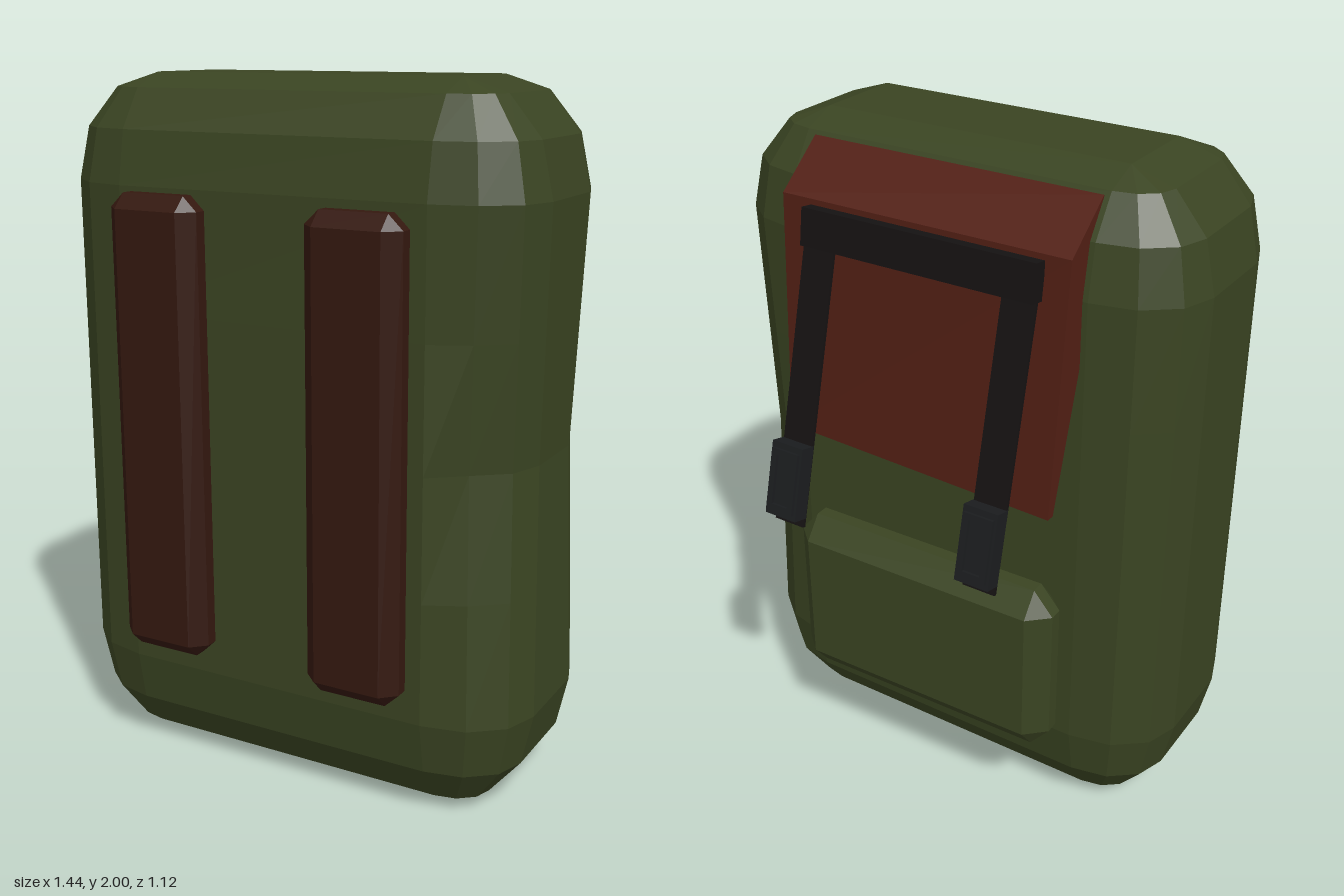
import * as THREE from 'three';

const mat = (color) => new THREE.MeshStandardMaterial({ color, flatShading: true });

// Box with rounded edges: size and radius are [x, y, z], steps = facets per quarter turn,
// mids = extra rings up the straight wall. steps 1 gives a plain chamfer.
function roundedBox(size, radius, steps, mids = 0, warp = null) {
  const core = size.map((s, i) => s / 2 - radius[i]);
  const levels = [];
  for (let k = 0; k <= steps; k++) levels.push([-core[1], (k / steps - 1) * Math.PI / 2]);
  for (let k = 1; k <= mids; k++) levels.push([core[1] * (2 * k / (mids + 1) - 1), 0]);
  for (let k = 0; k <= steps; k++) levels.push([core[1], (k / steps) * Math.PI / 2]);

  const corners = [[1, 1], [-1, 1], [-1, -1], [1, -1]];
  const rings = levels.map(([y, lat]) => {
    const ring = [];
    corners.forEach(([sx, sz], q) => {
      for (let k = 0; k <= steps; k++) {
        const a = (q + k / steps) * Math.PI / 2;
        const p = new THREE.Vector3(
          sx * core[0] + Math.cos(a) * Math.cos(lat) * radius[0],
          y + Math.sin(lat) * radius[1],
          sz * core[2] + Math.sin(a) * Math.cos(lat) * radius[2]);
        if (warp) warp(p);
        ring.push(p);
      }
    });
    return ring;
  });

  const points = [];
  const tri = (a, b, c) => {
    if (new THREE.Triangle(a, b, c).getArea() > 1e-7) points.push(a, b, c);
  };
  const n = rings[0].length;
  for (let i = 0; i < rings.length - 1; i++) {
    for (let j = 0; j < n; j++) {
      const k = (j + 1) % n;
      tri(rings[i][j], rings[i + 1][j], rings[i][k]);
      tri(rings[i][k], rings[i + 1][j], rings[i + 1][k]);
    }
  }
  const top = rings[rings.length - 1];
  for (let j = 1; j < n - 1; j++) {
    tri(rings[0][0], rings[0][j], rings[0][j + 1]);
    tri(top[0], top[j + 1], top[j]);
  }
  const geo = new THREE.BufferGeometry().setFromPoints(points);
  geo.computeVertexNormals();
  return geo;
}

export function createModel() {
  const model = new THREE.Group();
  model.name = 'backpack';
  const green = mat(0x3a4422), brown = mat(0x34180f), red = mat(0x521f14);
  const black = mat(0x151212), dark = mat(0x1b1d1f);

  const add = (name, geo, material, x, y, z, parent = model) => {
    const mesh = new THREE.Mesh(geo, material);
    mesh.name = name;
    mesh.position.set(x, y, z);
    parent.add(mesh);
    return mesh;
  };

  // Main bag, slightly sagging inwards on its left side
  const sag = (p) => {
    const t = Math.max(0, 1 - Math.abs(p.y) / 0.7);
    if (p.x > 0.5) {
      p.x -= 0.03 * t;
      if (p.z > 0.1) p.z -= 0.05 * t;
    }
  };
  add('body', roundedBox([1.44, 2, 0.67], [0.25, 0.3, 0.2], 3, 3, sag), green, 0, 1, 0.125);

  // Padded shoulder straps on the front
  for (const [name, x, y] of [['rightShoulderPad', -0.308, 1.035], ['leftShoulderPad', 0.3, 1.025]]) {
    add(name, roundedBox([0.28, 1.31, 0.115], [0.042, 0.04, 0.04], 1), brown, x, y, 0.508);
  }

  // Pocket on the back
  add('pocket', roundedBox([0.87, 0.55, 0.15], [0.06, 0.07, 0.055], 1), green, -0.015, 0.575, -0.285)
    .rotation.y = 0.015;

  // Flap: side profile (z, y) swept across the width, hanging further out on the right
  const profile = [[-0.12, 1.95], [-0.27, 1.83], [-0.35, 1.13], [-0.325, 1.13], [-0.2, 1.55], [-0.11, 1.88]];
  const shape = new THREE.Shape(profile.map(([z, y]) => new THREE.Vector2(-z, y)));
  const flapGeo = new THREE.ExtrudeGeometry(shape, { depth: 0.895, bevelEnabled: false });
  flapGeo.rotateY(Math.PI / 2);
  flapGeo.translate(-0.455, 0, 0);
  const pos = flapGeo.attributes.position;
  for (let i = 0; i < pos.count; i++) {
    if (pos.getX(i) > 0 && pos.getY(i) < 1.2) pos.setZ(i, pos.getZ(i) + 0.045);
  }
  flapGeo.computeVertexNormals();
  add('flap', flapGeo, red, 0, 0, 0);

  // Crossbar that the closing straps hang from
  add('strapBar', new THREE.BoxGeometry(0.725, 0.105, 0.045), black, -0.018, 1.765, -0.297)
    .rotation.x = 0.15;

  // Closing straps with buckles
  for (const [side, x, tilt] of [['left', 0.295, 0.26], ['right', -0.33, 0.235]]) {
    const strap = new THREE.Group();
    strap.name = side + 'ClosingStrap';
    strap.position.set(x, 1.79, -0.285);
    strap.rotation.x = tilt;
    model.add(strap);
    add('strap', new THREE.BoxGeometry(0.1, 0.87, 0.01), black, 0, -0.435, 0, strap);
    add('buckle', new THREE.BoxGeometry(0.105, 0.215, 0.05), dark, 0, -0.735, -0.025, strap);
    // Raised buckle frame
    for (const s of [-1, 1]) {
      add('buckleRail', new THREE.BoxGeometry(0.018, 0.18, 0.012), dark, s * 0.036, -0.735, -0.054, strap);
      add('buckleBar', new THREE.BoxGeometry(0.09, 0.018, 0.012), dark, 0, -0.735 + s * 0.081, -0.054, strap);
    }
  }
  return model;
}
